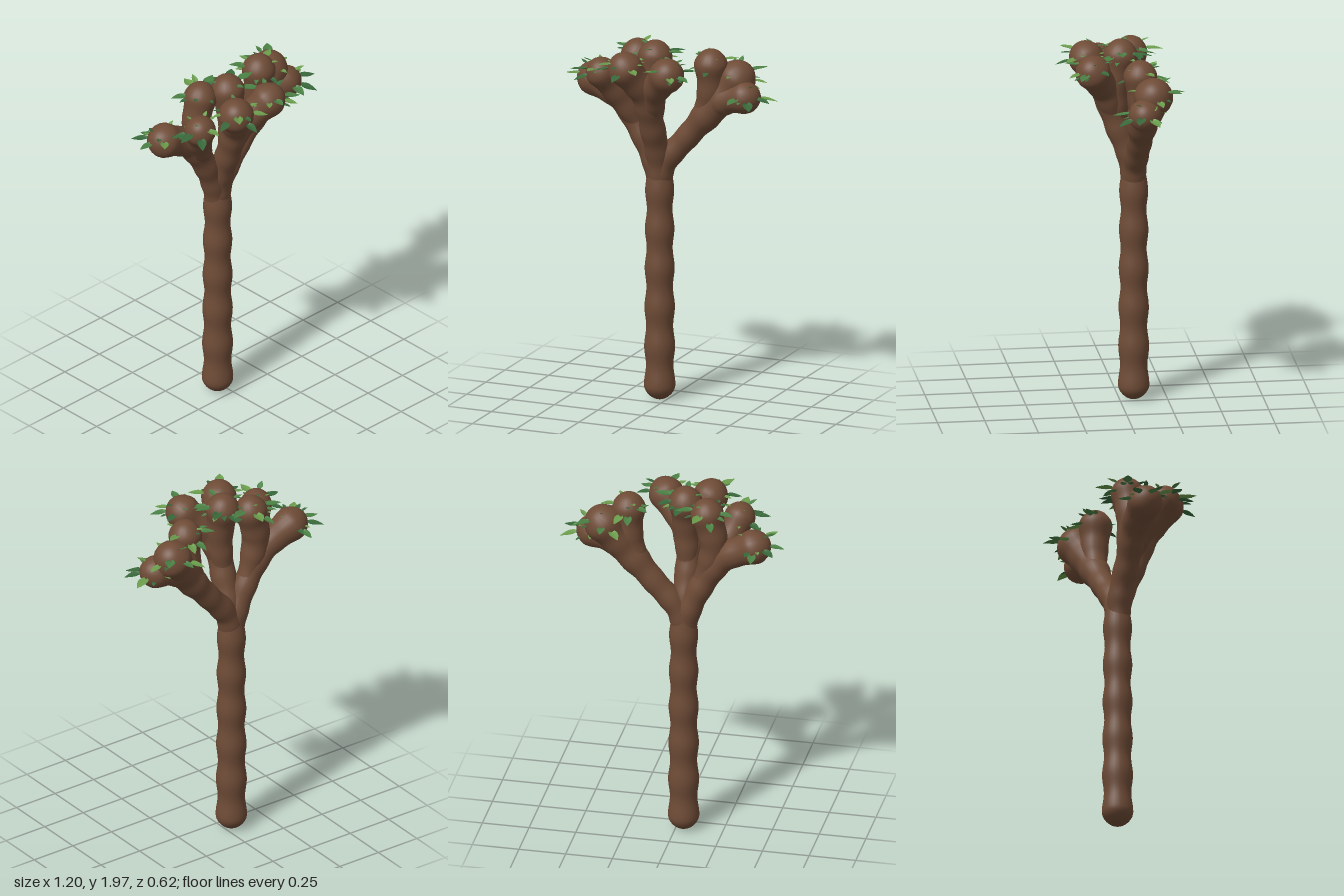
import * as THREE from 'three';
import { mergeVertices } from 'three/addons/utils/BufferGeometryUtils.js';

const bark = new THREE.MeshStandardMaterial({ color: 0x6e4b36 });
const greens = [0x6a9c4c, 0x38683a, 0x4a8044].map(
  (color) => new THREE.MeshStandardMaterial({ color, side: THREE.DoubleSide }));

// Small repeatable number source
let seed = 7;
const rand = () => (seed = (seed * 16807) % 2147483647) / 2147483647;

function smooth(geometry) {
  geometry.deleteAttribute('uv');
  geometry.deleteAttribute('normal');
  const merged = mergeVertices(geometry, 1e-5);
  merged.computeVertexNormals();
  return merged;
}

// Tube through [x, y, z, radius] points that ends in a round knob at the last one
function limbGeometry(path) {
  const SEG = 64, SIDES = 20;
  const pts = path.map(([x, y, z]) => new THREE.Vector3(x, y, z));
  const knob = path.at(-1)[3];
  const dir = pts.at(-1).clone().sub(pts.at(-2)).normalize();
  pts.push(pts.at(-1).clone().addScaledVector(dir, knob));
  const radii = [...path.map((p) => p[3]), knob];

  const curve = new THREE.CatmullRomCurve3(pts);
  const length = curve.getLength();
  // Rings crowd together towards the tip so the cap is round
  const toT = curve.getUtoTmapping.bind(curve);
  curve.getUtoTmapping = (u) => toT(Math.sin(u * Math.PI / 2));

  const geometry = new THREE.TubeGeometry(curve, SEG, 1, SIDES);
  const pos = geometry.attributes.position;
  const v = new THREE.Vector3();
  for (let i = 0; i <= SEG; i++) {
    const u = i / SEG;
    const s = curve.getUtoTmapping(u) * (radii.length - 1);
    const k = Math.min(Math.floor(s), radii.length - 2);
    const toEnd = length * (1 - Math.sin(u * Math.PI / 2));
    let r = THREE.MathUtils.lerp(radii[k], radii[k + 1], THREE.MathUtils.smoothstep(s - k, 0, 1));
    r *= 1 + 0.035 * Math.cos((toEnd - knob) * 2 * Math.PI / 0.14);
    if (toEnd < knob) r *= Math.sqrt(Math.max(0, 1 - (1 - toEnd / knob) ** 2));
    const centre = curve.getPointAt(u);
    for (let j = 0; j <= SIDES; j++) {
      const n = i * (SIDES + 1) + j;
      v.fromBufferAttribute(pos, n).sub(centre).multiplyScalar(r).add(centre);
      pos.setXYZ(n, v.x, v.y, v.z);
    }
  }
  return smooth(geometry);
}

// Trunk: rounded foot, gentle rings, domed top hidden in the fork
function trunkGeometry() {
  const TOP = 1.34, FOOT = 0.078, profile = [];
  for (let i = 0; i <= 100; i++) {
    const y = TOP * (1 - Math.cos(Math.PI * i / 100)) / 2;
    let r = 0.078 - 0.006 * y + 0.005 * Math.cos((y - 0.08) * 2 * Math.PI / 0.212);
    if (y < FOOT) r *= Math.sqrt(1 - (1 - y / FOOT) ** 2);
    if (y > 1.2) r *= Math.sqrt(Math.max(0, 1 - ((y - 1.2) / (TOP - 1.2)) ** 2));
    profile.push(new THREE.Vector2(r, y));
  }
  return smooth(new THREE.LatheGeometry(profile, 28));
}

// Pointed leaf of unit length along +z, cupped along its midrib
function leafGeometry() {
  const geometry = new THREE.PlaneGeometry(1, 1, 4, 8);
  const pos = geometry.attributes.position;
  for (let i = 0; i < pos.count; i++) {
    const along = 0.5 - pos.getY(i), across = pos.getX(i) * 2;
    const half = 0.27 * Math.max(0, Math.sin(Math.PI * along ** 0.75));
    pos.setXYZ(i, across * half, 0.1 * across * across * (1 - along) - 0.1 * along * along, along);
  }
  geometry.computeVertexNormals();
  return geometry;
}

export function createModel() {
  const model = new THREE.Group();
  const leafShape = leafGeometry();

  const trunk = new THREE.Mesh(trunkGeometry(), bark);
  trunk.name = 'trunk';
  trunk.position.set(-0.04, 0, -0.075);
  model.add(trunk);

  const leaves = new THREE.Group();
  leaves.name = 'leaves';
  model.add(leaves);

  // One leaf growing out of a knob
  function addLeaf([x, y, z, r], azimuth, elevation, length) {
    const leaf = new THREE.Mesh(leafShape, greens[Math.floor(rand() * greens.length)]);
    leaf.name = 'leaf';
    const out = new THREE.Vector3(
      Math.cos(azimuth) * Math.cos(elevation), Math.sin(elevation), Math.sin(azimuth) * Math.cos(elevation));
    leaf.position.set(x, y, z).addScaledVector(out, r * 0.9);
    leaf.scale.setScalar(length);
    // Leaves lie flatter than the surface they grow from
    out.y *= 0.55;
    leaf.lookAt(out.add(leaf.position));
    leaves.add(leaf);
  }

  // A limb with leaves; facing is the compass angle of its leaf fan (0 = +x, 90 = +z)
  function addLimb(name, facing, ...path) {
    const limb = new THREE.Mesh(limbGeometry(path), bark);
    limb.name = name;
    model.add(limb);
    const knob = path.at(-1);
    // Large leaves fan out from the side
    for (let i = 0; i < 4; i++) {
      const angle = facing + (i - 1.5) * 40 + rand() * 16 - 8;
      addLeaf(knob, THREE.MathUtils.degToRad(angle), rand() * 0.7 - 0.25, 0.075 + rand() * 0.025);
    }
    // Small leaves scattered above and below
    for (let i = 0; i < 7; i++) {
      addLeaf(knob, (i + rand()) * 2 * Math.PI / 7, rand() * 1.3 - 0.3, 0.035 + rand() * 0.025);
    }
  }

  // Three main branches rise out of the trunk
  const fork = [-.04, 1.1, -.075, .055];
  addLimb('rightBranch', 200, fork, [-.07, 1.29, -.075, .065], [-.16, 1.48, -.07, .066],
    [-.26, 1.62, -.075, .074], [-.42, 1.705, -.085, .09]);
  addLimb('middleBranch', 105, fork, [-.04, 1.32, -.055, .065], [-.045, 1.5, .01, .067],
    [-.06, 1.7, .08, .074], [-.135, 1.85, .165, .09]);
  addLimb('leftBranch', -75, fork, [-.02, 1.27, -.075, .065], [.12, 1.45, -.085, .064],
    [.27, 1.63, -.09, .083], [.38, 1.78, -.125, .1]);

  // Two side shoots on each branch
  addLimb('rightUpperShoot', -90, [-.14, 1.45, -.07, .055], [-.2, 1.68, -.073, .072], [-.165, 1.865, -.075, .085]);
  addLimb('rightFrontShoot', 150, [-.15, 1.47, -.07, .05], [-.25, 1.67, 0, .072], [-.31, 1.79, .075, .08]);
  addLimb('middleFrontShoot', 40, [-.045, 1.5, .01, .05], [-.01, 1.7, .08, .072], [.105, 1.84, .16, .09]);
  addLimb('middleUpperShoot', -20, [-.045, 1.5, .01, .055], [-.035, 1.72, .02, .07], [-.035, 1.885, -.005, .088]);
  addLimb('leftUpperShoot', -85, [.19, 1.53, -.09, .055], [.25, 1.7, -.08, .073], [.255, 1.855, -.07, .086]);
  addLimb('leftLowerShoot', 35, [.2, 1.54, -.09, .055], [.32, 1.665, -.085, .08], [.45, 1.7, -.07, .084]);
  return model;
}
